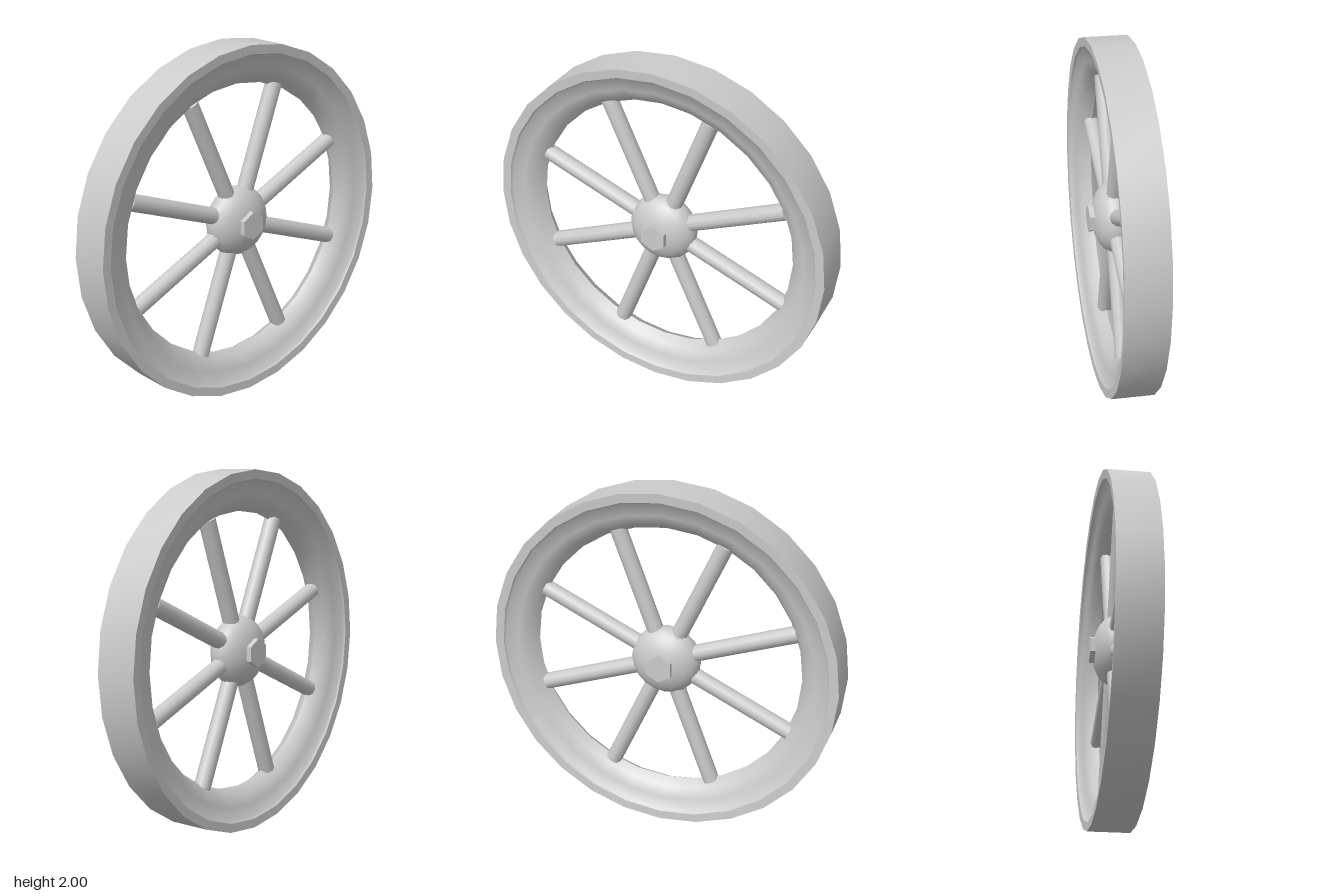
import * as THREE from 'three';
import { toCreasedNormals } from 'three/addons/utils/BufferGeometryUtils.js';

const material = new THREE.MeshStandardMaterial({ color: 0xcccccc });

function addPart(parent, name, geometry) {
  const mesh = new THREE.Mesh(geometry, material);
  mesh.name = name;
  parent.add(mesh);
  return mesh;
}

// Turned part whose axle runs along z; half profile [radius, z] is mirrored front to back
function turned(half, segments, crease) {
  const back = half.map(([r, z]) => new THREE.Vector2(r, -z));
  const front = half.map(([r, z]) => new THREE.Vector2(r, z)).reverse();
  const points = [...front.filter(p => p.y > 0), ...back.reverse()].reverse();
  const geometry = new THREE.LatheGeometry(points, segments);
  geometry.rotateX(Math.PI / 2);
  return toCreasedNormals(geometry, crease);
}

export function createModel() {
  const model = new THREE.Group();
  const wheel = new THREE.Group();
  wheel.name = 'wheel';
  wheel.position.y = 1;
  model.add(wheel);

  // Rim: flat tread, narrow lips, and sides curving in to a ridge that holds the spokes
  const side = [[1, 0.118], [0.95, 0.115], [0.94, 0.1], [0.87, 0.085], [0.81, 0.055], [0.775, 0]];
  const loop = [
    ...side.map(([r, z]) => new THREE.Vector2(r, z)),
    ...side.slice(0, -1).reverse().map(([r, z]) => new THREE.Vector2(r, -z)),
    new THREE.Vector2(1, 0.118),
  ];
  const rim = new THREE.LatheGeometry(loop, 28);
  rim.rotateX(Math.PI / 2);
  addPart(wheel, 'rim', toCreasedNormals(rim, 0.8));

  // Hub: flattened ball
  const hub = new THREE.SphereGeometry(0.2, 20, 12);
  hub.rotateX(Math.PI / 2);
  hub.scale(1, 1, 0.6);
  addPart(wheel, 'hub', hub);

  // Six-sided axle showing on both faces
  const axle = new THREE.CylinderGeometry(0.08, 0.08, 0.28, 6);
  axle.rotateX(Math.PI / 2);
  addPart(wheel, 'axle', toCreasedNormals(axle, 0.6));

  // Eight spokes from the hub to the rim's ridge
  const spoke = new THREE.CylinderGeometry(0.047, 0.047, 0.68, 10);
  spoke.translate(0, 0.45, 0);
  for (let i = 0; i < 8; i++) {
    const angle = THREE.MathUtils.degToRad(24.6 + i * 45);
    addPart(wheel, 'spoke', spoke).rotation.z = angle - Math.PI / 2;
  }

  return model;
}
